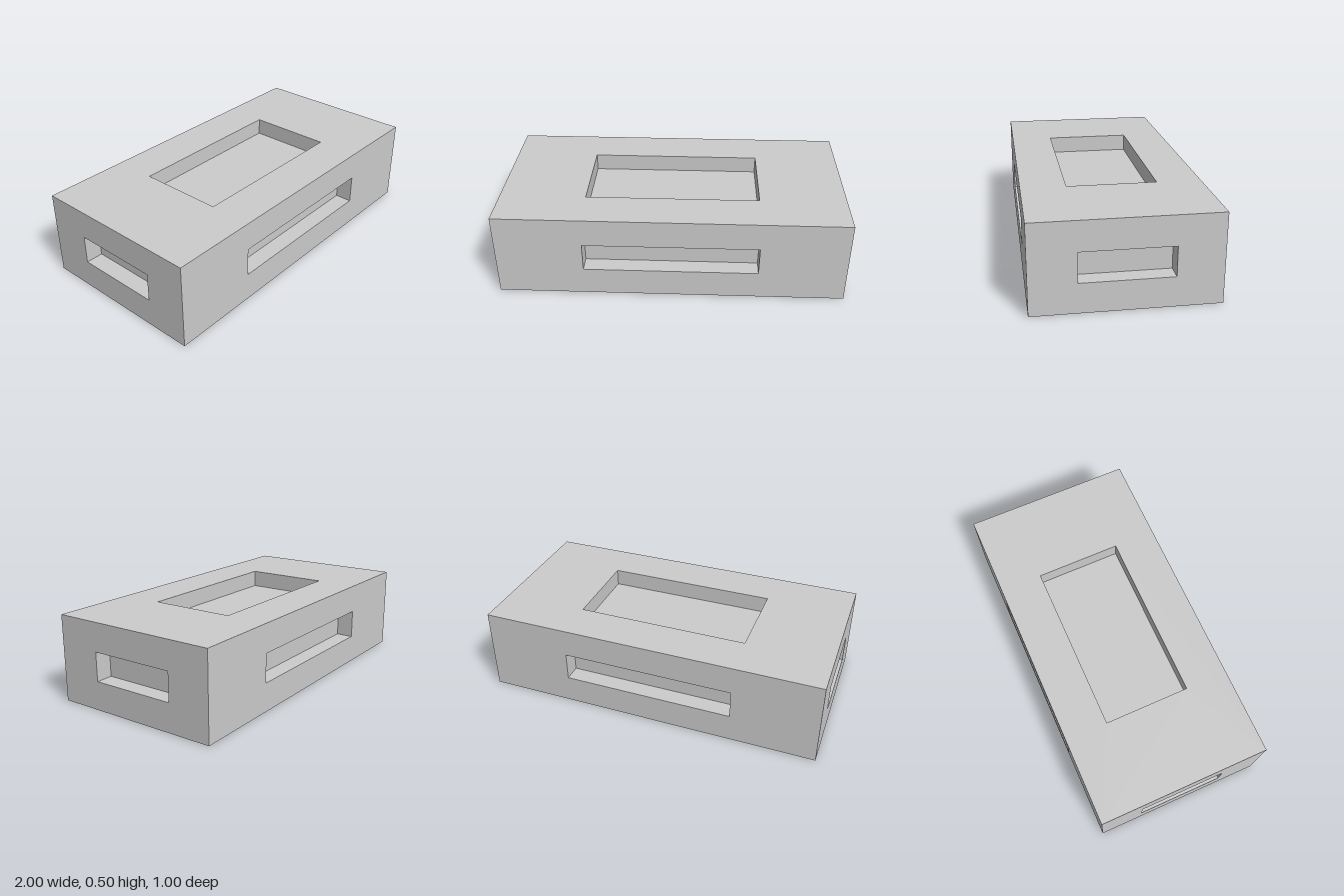
import * as THREE from 'three';

const W = 2, H = 0.5, D = 1;   // block size
const RECESS = 0.1;            // pocket depth

const material = new THREE.MeshStandardMaterial({ color: 0xcccccc, flatShading: true });

// Face panel looking along +z: a flat border, four pocket walls and a pocket floor.
function panelGeometry(w, h, pocketW, pocketH) {
  const ring = (a, b, z) => [[-1, -1], [1, -1], [1, 1], [-1, 1]]
    .map(([sx, sy]) => [sx * a / 2, sy * b / 2, z]);
  const rings = [ring(w, h, 0), ring(pocketW, pocketH, 0), ring(pocketW, pocketH, -RECESS)];
  const positions = [];
  const quad = (a, b, c, d) => positions.push(...a, ...b, ...c, ...a, ...c, ...d);
  for (let r = 0; r < 2; r++) {
    for (let i = 0; i < 4; i++) {
      const j = (i + 1) % 4;
      quad(rings[r][i], rings[r][j], rings[r + 1][j], rings[r + 1][i]);
    }
  }
  quad(...rings[2]);
  const geometry = new THREE.BufferGeometry();
  geometry.setAttribute('position', new THREE.Float32BufferAttribute(positions, 3));
  geometry.computeVertexNormals();
  return geometry;
}

export function createModel() {
  const block = new THREE.Group();
  block.name = 'recessedBlock';

  const longSide = panelGeometry(W, H, W / 2, H / 3);
  const shortSide = panelGeometry(D, H, D / 2, H / 3);
  const broadSide = panelGeometry(W, D, W / 2, D / 2);

  // name, geometry, centre of the face, rotation about x and y
  const panels = [
    ['frontPanel', longSide, [0, H / 2, D / 2], 0, 0],
    ['backPanel', longSide, [0, H / 2, -D / 2], 0, Math.PI],
    ['leftPanel', shortSide, [W / 2, H / 2, 0], 0, Math.PI / 2],
    ['rightPanel', shortSide, [-W / 2, H / 2, 0], 0, -Math.PI / 2],
    ['topPanel', broadSide, [0, H, 0], -Math.PI / 2, 0],
    ['bottomPanel', broadSide, [0, 0, 0], Math.PI / 2, 0],
  ];
  for (const [name, geometry, centre, rx, ry] of panels) {
    const mesh = new THREE.Mesh(geometry, material);
    mesh.name = name;
    mesh.position.set(...centre);
    mesh.rotation.set(rx, ry, 0);
    block.add(mesh);
  }
  return block;
}
